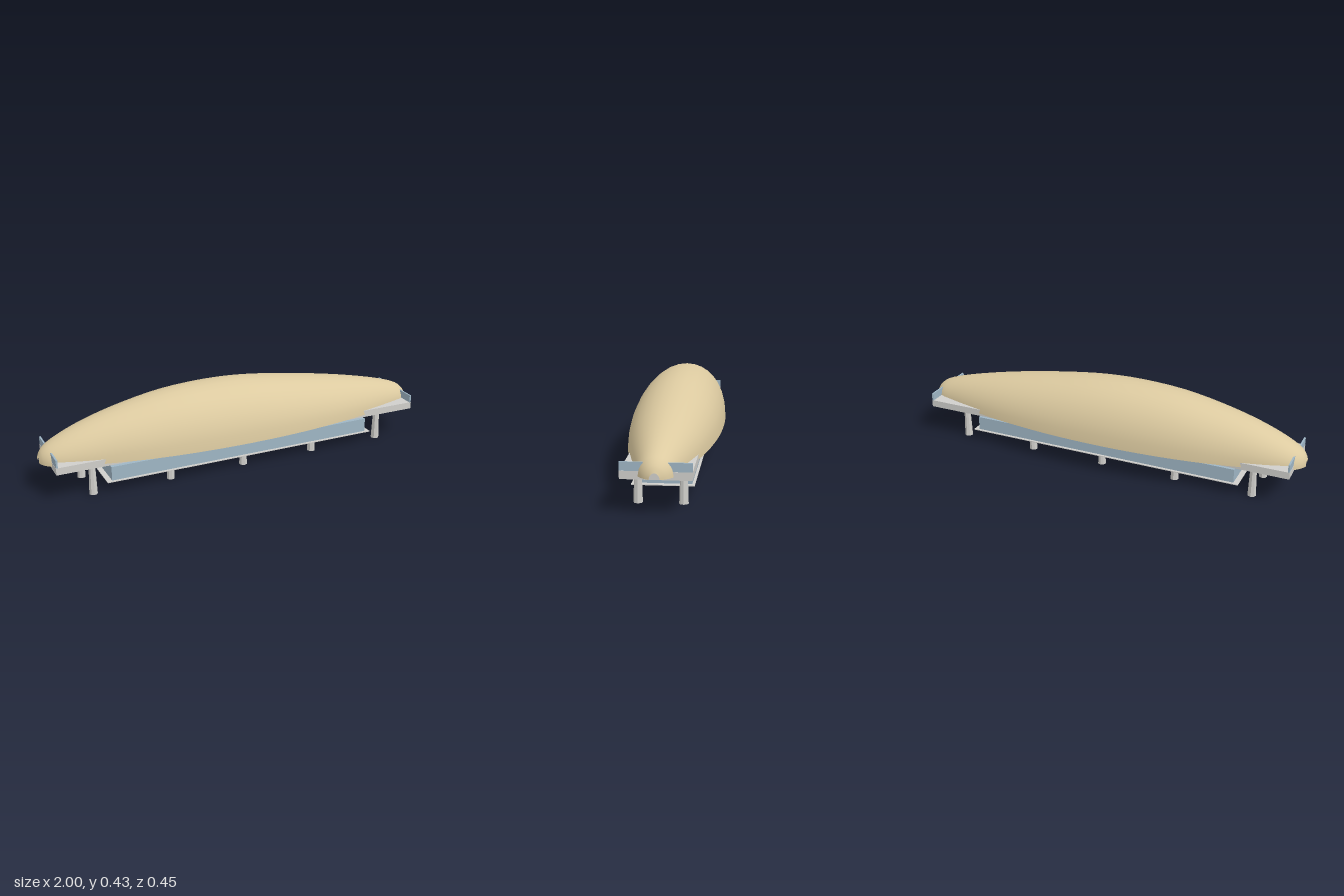
import * as THREE from 'three';

const tan = new THREE.MeshStandardMaterial({ color: 0xdccaa0, side: THREE.DoubleSide });
tan.name = 'tan roof';
const grey = new THREE.MeshStandardMaterial({ color: 0xd0cfcb });
grey.name = 'pale concrete';
const blue = new THREE.MeshStandardMaterial({ color: 0x9fb6c5 });
blue.name = 'blue glass';

const BASE = 0.165; // height of the shell's open rim

// Stations along the shell: x, rise above the rim, half width
const STATIONS = [
  [-1, 0.027, 0.022], [-0.985, 0.055, 0.05], [-0.95, 0.084, 0.082], [-0.85, 0.132, 0.12],
  [-0.72, 0.177, 0.152], [-0.55, 0.219, 0.186], [-0.36, 0.252, 0.21], [-0.14, 0.265, 0.223],
  [0.05, 0.259, 0.223], [0.26, 0.234, 0.212], [0.53, 0.19, 0.178], [0.73, 0.149, 0.137],
  [0.86, 0.116, 0.104], [0.95, 0.084, 0.076], [0.985, 0.055, 0.048], [1, 0.027, 0.022],
];

// Half-elliptical arches lofted along x, open underneath and at both tips
function shellGeometry() {
  const curve = new THREE.CatmullRomCurve3(STATIONS.map((s) => new THREE.Vector3(...s)));
  const rings = curve.getPoints(45);
  const seg = 16;
  const positions = [];
  const index = [];
  rings.forEach((r, i) => {
    for (let j = 0; j <= seg; j++) {
      const a = (j / seg) * Math.PI;
      positions.push(r.x, BASE + r.y * Math.sin(a), r.z * Math.cos(a));
      if (i && j) {
        const d = i * (seg + 1) + j;
        const c = d - 1;
        const b = d - seg - 1;
        const e = b - 1;
        index.push(e, c, b, c, d, b);
      }
    }
  });
  const g = new THREE.BufferGeometry();
  g.setAttribute('position', new THREE.Float32BufferAttribute(positions, 3));
  g.setIndex(index);
  g.computeVertexNormals();
  return g;
}

export function createModel() {
  const model = new THREE.Group();
  model.name = 'terminalBuilding';

  const add = (name, geometry, material, x, y, z) => {
    const mesh = new THREE.Mesh(geometry, material);
    mesh.name = name;
    mesh.position.set(x, y, z);
    model.add(mesh);
    return mesh;
  };
  // Box given by its bottom and top heights
  const slab = (name, material, w, y0, y1, d, x = 0) =>
    add(name, new THREE.BoxGeometry(w, y1 - y0, d), material, x, (y0 + y1) / 2, 0);

  add('roofShell', shellGeometry(), tan, 0, 0, 0);
  slab('mainDeck', grey, 1.91, 0.152, 0.187, 0.3);
  slab('lowerHall', blue, 1.38, 0.061, 0.13, 0.252);
  slab('lowerFloor', grey, 1.43, 0.057, 0.061, 0.276);

  // Glass end walls standing on the deck
  for (const side of [-1, 1]) {
    slab(side > 0 ? 'leftEndWall' : 'rightEndWall', blue, 0.008, 0.187, 0.225, 0.3, side * 0.95);
  }

  // Two rows of tapered columns
  const column = new THREE.CylinderGeometry(0.0155, 0.0205, 0.155, 8).toNonIndexed();
  column.computeVertexNormals();
  for (let i = -2; i <= 2; i++) {
    for (const side of [-1, 1]) add('column', column, grey, i * 0.3875, 0.0775, side * 0.098);
  }
  return model;
}
